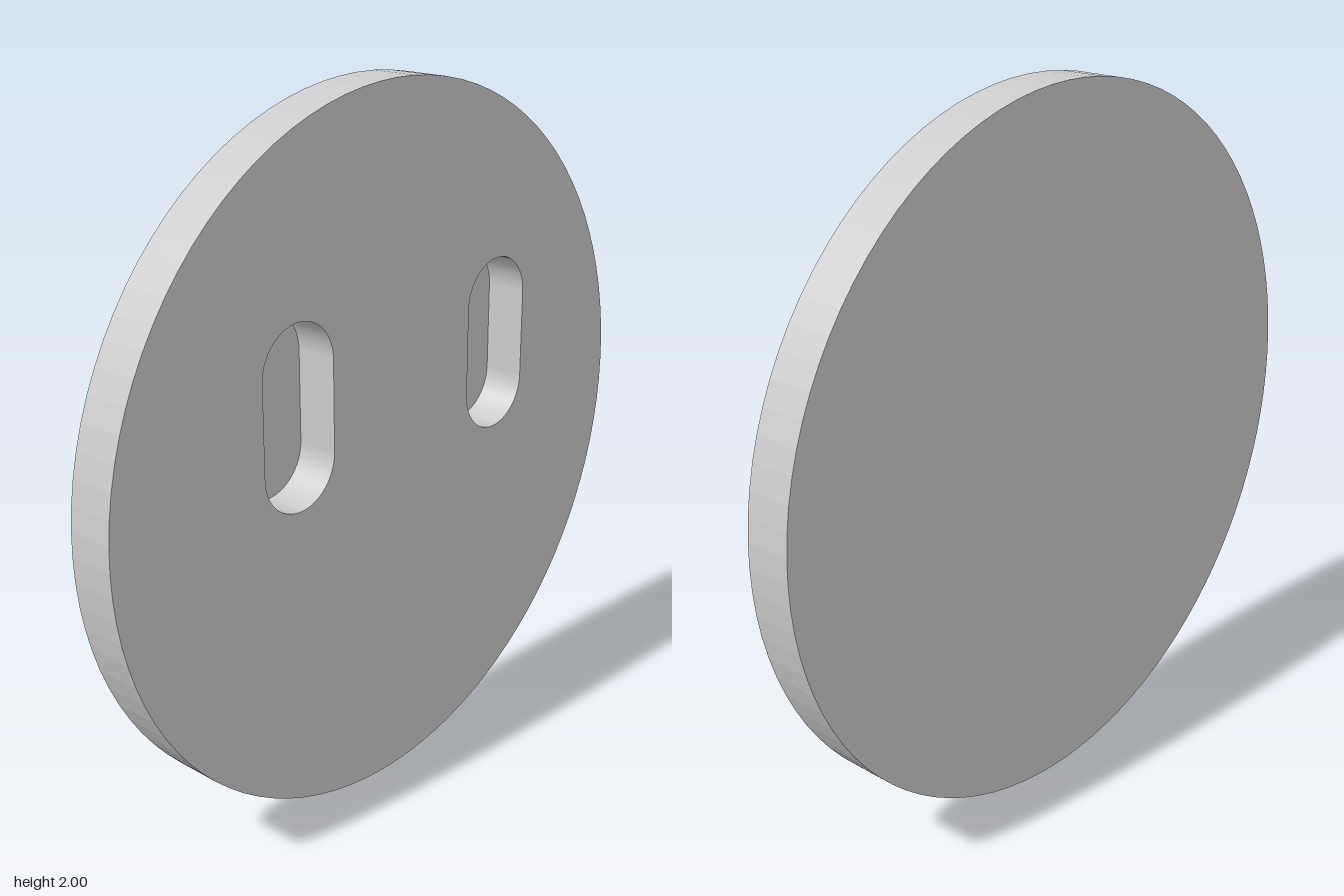
import * as THREE from 'three';
import { mergeGeometries } from 'three/addons/utils/BufferGeometryUtils.js';

const RADIUS = 1, HALF = 0.0675, DEPTH = 0.121;
const SLOT_R = 0.127, SLOT_STRAIGHT = 0.127, SLOT_Y = 1.197;
const SLOT_XS = [-0.372, 0.438];
const SEGMENTS = 48;

// Upright slot outline with round ends
function slotOutline(x, Outline) {
  const s = new Outline();
  s.absarc(x, SLOT_Y + SLOT_STRAIGHT, SLOT_R, 0, Math.PI, false);
  s.absarc(x, SLOT_Y - SLOT_STRAIGHT, SLOT_R, Math.PI, Math.PI * 2, false);
  s.closePath();
  return s;
}

// Wall standing along an outline between two depths
function wall(outline, z0, z1, inward) {
  const pts = outline.getPoints(SEGMENTS);
  if (inward) pts.reverse();
  const pos = [];
  for (let i = 0; i < pts.length; i++) {
    const a = pts[i], b = pts[(i + 1) % pts.length];
    if (a.distanceTo(b) < 1e-6) continue;
    pos.push(a.x, a.y, z0, b.x, b.y, z0, b.x, b.y, z1);
    pos.push(a.x, a.y, z0, b.x, b.y, z1, a.x, a.y, z1);
  }
  const g = new THREE.BufferGeometry();
  g.setAttribute('position', new THREE.Float32BufferAttribute(pos, 3));
  g.computeVertexNormals();
  return g;
}

// Flat face of a shape at a depth
function face(shape, z) {
  const g = new THREE.ShapeGeometry(shape, SEGMENTS).toNonIndexed();
  g.deleteAttribute('uv');
  return g.translate(0, 0, z);
}

export function createModel() {
  const group = new THREE.Group();
  group.name = 'slottedDisc';
  const material = new THREE.MeshStandardMaterial({ color: 0xcccccc });
  const add = (name, parts) => {
    const mesh = new THREE.Mesh(mergeGeometries(parts), material);
    mesh.name = name;
    group.add(mesh);
  };

  // Disc: pierced front, plain back and rim
  const disc = new THREE.Shape().absarc(0, RADIUS, RADIUS, 0, Math.PI * 2, false);
  const front = disc.clone();
  front.holes = SLOT_XS.map((x) => slotOutline(x, THREE.Path));
  const back = face(disc, HALF).rotateY(Math.PI);
  add('disc', [face(front, HALF), back, wall(disc, -HALF, HALF, false)]);

  // Two blind slots sunk into the front
  SLOT_XS.forEach((x, i) => {
    const slot = slotOutline(x, THREE.Shape);
    const floor = HALF - DEPTH;
    add(i ? 'leftSlot' : 'rightSlot', [face(slot, floor), wall(slot, floor, HALF, true)]);
  });
  return group;
}
